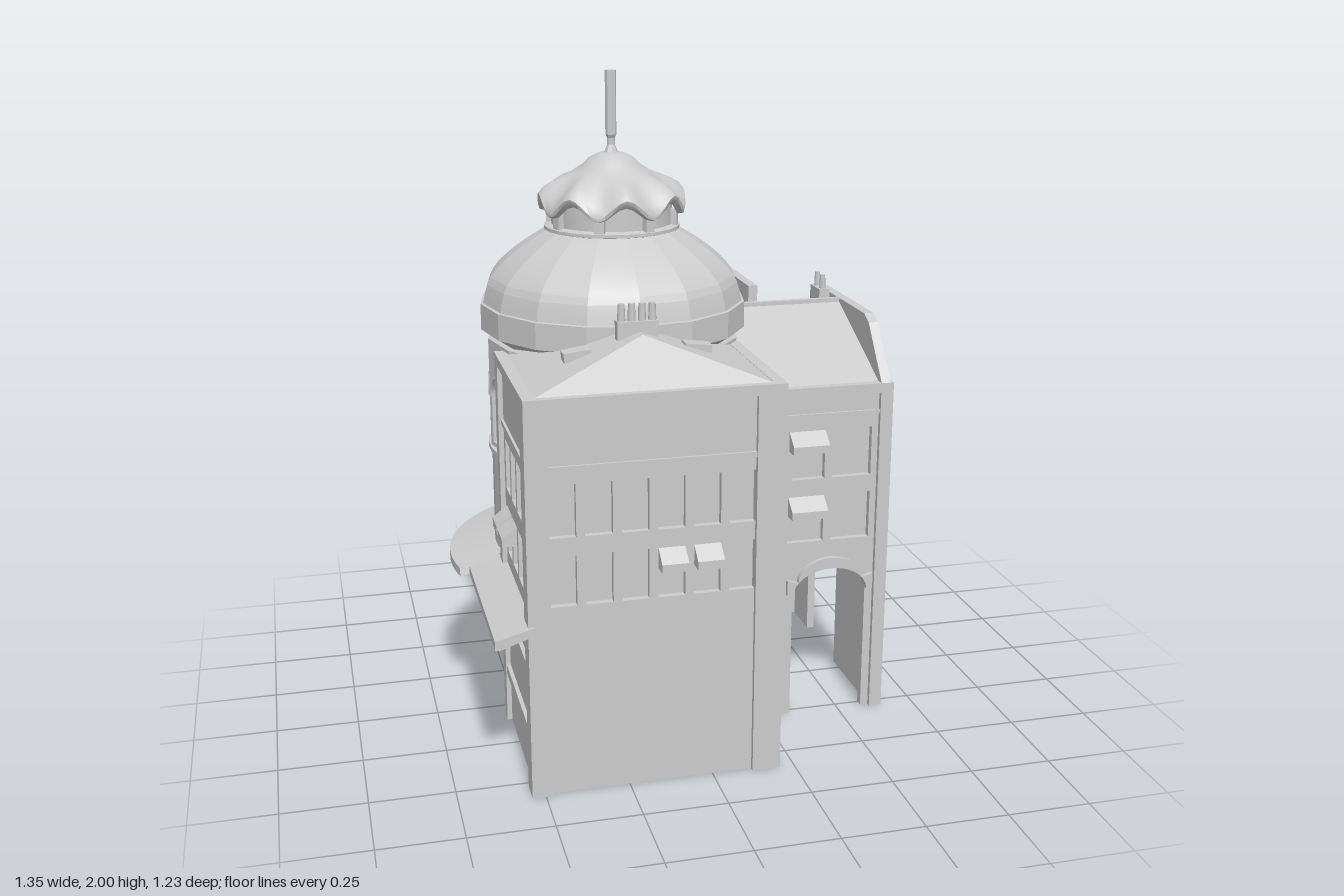
import * as THREE from 'three';
import { toCreasedNormals } from 'three/addons/utils/BufferGeometryUtils.js';

const grey = new THREE.MeshStandardMaterial({ color: 0xcccccc, side: THREE.DoubleSide });
const CX = -0.15, CZ = -0.08; // axis of the round tower

function add(parent, name, geo) {
  const m = new THREE.Mesh(geo, grey);
  m.name = name;
  parent.add(m);
  return m;
}
// box given by its two extreme corners
function box(parent, name, x0, x1, y0, y1, z0, z1) {
  const m = add(parent, name, new THREE.BoxGeometry(x1 - x0, y1 - y0, z1 - z0));
  m.position.set((x0 + x1) / 2, (y0 + y1) / 2, (z0 + z1) / 2);
  return m;
}
// (z, y) outline swept along x
function prism(parent, name, outline, x0, x1) {
  const shape = new THREE.Shape(outline.map(p => new THREE.Vector2(...p)));
  const g = new THREE.ExtrudeGeometry(shape, { depth: x1 - x0, bevelEnabled: false });
  return add(parent, name, g.rotateY(-Math.PI / 2).translate(x1, 0, 0));
}
// flat faces, each a list of corners
function faces(parent, name, list) {
  const pos = [];
  for (const f of list)
    for (let i = 1; i < f.length - 1; i++) pos.push(...f[0], ...f[i], ...f[i + 1]);
  const g = new THREE.BufferGeometry();
  g.setAttribute('position', new THREE.Float32BufferAttribute(pos, 3));
  g.computeVertexNormals();
  return add(parent, name, g);
}
function lathe(parent, name, pts, seg, crease = 0.3, start = 0, len = Math.PI * 2) {
  const g = new THREE.LatheGeometry(pts.map(p => new THREE.Vector2(...p)), seg, start, len);
  const m = add(parent, name, toCreasedNormals(g, crease));
  m.position.set(CX, 0, CZ);
  return m;
}
function rectHole(u0, u1, y0, y1) {
  return new THREE.Path([[u0, y0], [u1, y0], [u1, y1], [u0, y1]].map(p => new THREE.Vector2(...p)));
}

// One facade: local x runs along the wall, local z points outwards
const ROWS = [[0.58, 0.73], [0.785, 0.94]];
function facade(root, name, { x, z, ry, w, top, wins, awnings = [], arch }) {
  const g = new THREE.Group();
  g.name = name;
  g.position.set(x, 0, z);
  g.rotation.y = ry;
  root.add(g);
  const s = new THREE.Shape();
  s.moveTo(0, 0);
  if (arch) {
    const [c, h] = arch;
    s.lineTo(c - h, 0);
    s.lineTo(c - h, 0.41);
    s.absellipse(c, 0.41, h, 0.08, Math.PI, 0, true);
    s.lineTo(c + h, 0);
    // raised moulding round the archway
    const a = new THREE.Shape();
    a.moveTo(c - h - 0.02, 0.41);
    a.lineTo(c - h - 0.02, 0.46);
    a.absellipse(c, 0.45, h - 0.015, 0.075, Math.PI, 0, true);
    a.lineTo(c + h + 0.02, 0.46);
    a.lineTo(c + h + 0.02, 0.41);
    a.absellipse(c, 0.41, h, 0.08, 0, Math.PI, false);
    add(g, 'archMoulding', new THREE.ExtrudeGeometry(a, { depth: 0.015, bevelEnabled: false }));
  }
  s.lineTo(w, 0);
  s.lineTo(w, top);
  s.lineTo(0, top);
  for (const [u0, u1] of wins) for (const [y0, y1] of ROWS) s.holes.push(rectHole(u0, u1, y0, y1));
  add(g, 'wall', new THREE.ExtrudeGeometry(s, { depth: 0.025, bevelEnabled: false }).translate(0, 0, -0.025));
  box(g, 'windowPanes', 0.005, w - 0.005, 0.55, 0.97, -0.03, -0.02);
  box(g, 'ledge', 0, w, 0.98, 0.995, -0.01, 0.008);
  box(g, 'cornice', -0.01, w + 0.01, top - 0.02, top + 0.01, -0.02, 0.015);
  for (const [i, row] of awnings) {
    const y = ROWS[row][1];
    prism(g, 'awning', [[0, y], [0.045, y - 0.035], [0.045, y - 0.06], [0, y - 0.06]], ...wins[i]);
  }
  return g;
}
const range = (n, start, pitch, width) =>
  Array.from({ length: n }, (_, i) => [start + i * pitch, start + i * pitch + width]);

function buildWalls(root) {
  const q = Math.PI / 2;
  facade(root, 'mainFront', { x: -0.525, z: 0.575, ry: 0, w: 0.715, top: 1.18,
    wins: range(6, 0.05, 0.104, 0.078), awnings: [[3, 0], [4, 0]] });
  facade(root, 'mainRightSide', { x: 0.19, z: 0.575, ry: q, w: 0.575, top: 1.18,
    wins: [[0.025, 0.125], [0.155, 0.275]], awnings: [[0, 1], [1, 1]] });
  const left = facade(root, 'mainLeftSide', { x: -0.525, z: 0.05, ry: -q, w: 0.525, top: 1.18,
    wins: range(4, 0.075, 0.107, 0.085), awnings: [[0, 0], [1, 0]] });
  for (const y of [0.16, 0.36]) box(left, 'shopBand', 0.05, 0.47, y, y + 0.03, -0.01, 0.012);
  facade(root, 'wingFront', { x: 0.19, z: 0.27, ry: 0, w: 0.44, top: 1.07,
    wins: [[0.015, 0.105], [0.13, 0.245], [0.27, 0.395]], awnings: [[1, 0], [1, 1]], arch: [0.27, 0.12] });
  facade(root, 'wingRightSide', { x: 0.63, z: 0.27, ry: q, w: 0.765, top: 1.07,
    wins: range(6, 0.075, 0.106, 0.085), awnings: [[1, 0], [2, 0]], arch: [0.46, 0.14] });
  facade(root, 'wingBack', { x: 0.63, z: -0.495, ry: Math.PI, w: 0.31, top: 1.07,
    wins: [[0.035, 0.145], [0.18, 0.28]], awnings: [[0, 1], [1, 1]], arch: [0.175, 0.12] });
  facade(root, 'middleBack', { x: 0.32, z: -0.495, ry: Math.PI, w: 0.32, top: 1.18,
    wins: [[0.04, 0.135], [0.175, 0.28]], awnings: [[0, 1], [1, 1]] });

  // corner pilasters: x0, x1, z0, z1, top
  for (const [x0, x1, z0, z1, top] of [
    [-0.54, -0.475, 0.52, 0.59, 1.19], [0.12, 0.205, 0.555, 0.59, 1.19], [-0.54, -0.5, 0.05, 0.1, 1.19],
    [0.16, 0.205, 0.275, 0.3, 1.19], [0.605, 0.645, 0.2, 0.285, 1.08], [0.605, 0.645, -0.51, -0.44, 1.08],
    [0.3, 0.335, -0.512, -0.47, 1.2], [-0.015, 0.02, -0.515, -0.42, 1.21]])
    box(root, 'pilaster', x0, x1, 0, top, z0, z1);

  // ground floor: passage wall, ceilings, counter, screen across the cut corner
  box(root, 'passageWall', 0.32, 0.335, 0, 0.54, -0.48, 0.26);
  box(root, 'passageCeiling', 0.2, 0.62, 0.53, 0.55, -0.48, 0.26);
  box(root, 'mainCeiling', -0.51, 0.18, 0.5, 0.52, 0.28, 0.56);
  box(root, 'counter', -0.515, -0.38, 0.19, 0.21, 0.06, 0.56);
  const d = box(root, 'cornerScreen', -0.375, 0.375, 0.22, 0.5, -0.01, 0.01);
  d.position.set(-0.265, 0.36, -0.2);
  d.rotation.y = 0.79;
}

function buildRoofs(root) {
  // hipped roof of the main block
  const A = [-0.53, 1.18, 0.58], B = [0.195, 1.18, 0.58], C = [0.195, 1.18, 0], D = [-0.53, 1.18, 0.05];
  const P = [-0.17, 1.31, 0.42], Q = [-0.17, 1.31, 0];
  faces(root, 'mainRoof', [[A, B, P], [B, C, Q, P], [D, A, P, Q]]);
  box(root, 'chimney', -0.235, -0.115, 1.27, 1.34, 0.35, 0.385);
  for (let i = 0; i < 4; i++) {
    const p = add(root, 'chimneyPot', new THREE.CylinderGeometry(0.01, 0.012, 0.05, 8));
    p.position.set(-0.22 + i * 0.03, 1.365, 0.367);
  }
  for (const s of [-1, 1]) {
    const w = box(root, 'roofLight', -0.04, 0.04, -0.015, 0.015, -0.025, 0.025);
    w.position.set(-0.175 + s * 0.175, 1.25, 0.367);
    w.rotation.z = -s * 0.12;
  }
  // wing: ridge roof, lean-to part, parapet walls
  prism(root, 'wingRoofFront', [[0.28, 1.07], [-0.11, 1.25], [-0.11, 1.07]], 0.2, 0.61);
  prism(root, 'wingRoofBack', [[-0.11, 1.07], [-0.11, 1.25], [-0.5, 1.07]], 0.32, 0.61);
  prism(root, 'middleRoof', [[-0.1, 1.16], [-0.1, 1.24], [-0.5, 1.18], [-0.5, 1.16]], 0, 0.31);
  box(root, 'ridge', 0.26, 0.61, 1.22, 1.26, -0.125, -0.105);
  prism(root, 'gableWall', [[0.285, 1.05], [0.285, 1.08], [0.16, 1.24], [0.12, 1.26], [-0.3, 1.26],
    [-0.505, 1.08], [-0.505, 1.05]], 0.605, 0.635);
  box(root, 'partyWall', 0.305, 0.335, 1.05, 1.31, -0.49, -0.13);
  box(root, 'sideChimney', 0.57, 0.605, 1.1, 1.27, -0.29, -0.2);
  for (const z of [-0.27, -0.22]) {
    const p = add(root, 'chimneyPot', new THREE.CylinderGeometry(0.009, 0.011, 0.05, 8));
    p.position.set(0.587, 1.29, z);
  }
}

function buildTower(root) {
  lathe(root, 'towerDrum', [[0.385, 0.47], [0.385, 0.84], [0.395, 0.845], [0.395, 0.86],
    [0.37, 0.865], [0.37, 1.2]], 42);
  // arcade of round-headed windows, one flat bay per side
  const n = 14, half = 0.39 * Math.sin(Math.PI / n), apothem = 0.39 * Math.cos(Math.PI / n);
  const bay = new THREE.Shape([[-half, 0.855], [half, 0.855], [half, 1.2], [-half, 1.2]].map(p => new THREE.Vector2(...p)));
  const hole = new THREE.Path();
  hole.moveTo(-0.068, 0.875);
  hole.lineTo(0.068, 0.875);
  hole.absarc(0, 1.02, 0.068, 0, Math.PI, false);
  bay.holes.push(hole);
  const bayGeo = new THREE.ExtrudeGeometry(bay, { depth: 0.02, bevelEnabled: false }).translate(0, 0, apothem - 0.02);
  const archGeo = new THREE.TorusGeometry(0.075, 0.006, 5, 14, Math.PI).translate(0, 1.02, apothem);
  for (let i = 0; i < n; i++)
    for (const [name, geo] of [['arcadeBay', bayGeo], ['arcadeArch', archGeo]]) {
      const m = add(root, name, geo);
      m.position.set(CX, 0, CZ);
      m.rotation.y = (i / n) * Math.PI * 2;
    }
  // eaves band and faceted dome
  lathe(root, 'domeEaves', [[0.35, 1.19], [0.4, 1.225], [0.41, 1.23], [0.41, 1.31], [0.39, 1.315]], 16);
  const curve = new THREE.SplineCurve([[0.402, 1.31], [0.377, 1.39], [0.3, 1.465], [0.2, 1.53]].map(p => new THREE.Vector2(...p)));
  lathe(root, 'dome', curve.getPoints(12).map(p => [p.x, p.y]), 16, 0.16);
  lathe(root, 'lanternDrum', [[0.19, 1.525], [0.208, 1.53], [0.208, 1.54], [0.185, 1.545], [0.185, 1.62]], 24);
  for (let i = 0; i < 8; i++) {
    const a = ((i + 0.5) / 8) * Math.PI * 2;
    const p = box(root, 'lanternPier', -0.015, 0.015, 1.54, 1.59, -0.012, 0.012);
    p.position.x = CX + 0.19 * Math.sin(a);
    p.position.z = CZ + 0.19 * Math.cos(a);
    p.rotation.y = a;
  }
  // scalloped cap: the rim rises and falls eight times, fading towards the top
  const cap = lathe(root, 'scallopedCap', [[0.205, 1.575], [0.222, 1.578], [0.225, 1.59], [0.21, 1.615], [0.185, 1.642],
    [0.155, 1.67], [0.12, 1.7], [0.085, 1.723], [0.07, 1.74], [0.04, 1.755], [0, 1.76]], 64);
  const v = cap.geometry.attributes.position;
  for (let i = 0; i < v.count; i++) {
    const x = v.getX(i), z = v.getZ(i);
    const k = Math.max(0, (Math.hypot(x, z) - 0.12) / 0.105);
    v.setY(i, v.getY(i) + 0.026 * k * (1 + Math.cos(8 * Math.atan2(x, z))));
  }
  cap.geometry = toCreasedNormals(cap.geometry, 0.9);
  lathe(root, 'mast', [[0.025, 1.75], [0.012, 1.78], [0.012, 1.8], [0.017, 1.81], [0.017, 2], [0, 2]], 8);
  // thin sloping canopy round the tower and along the left side
  lathe(root, 'roundCanopy', [[0.38, 0.535], [0.53, 0.505], [0.53, 0.478], [0.515, 0.478], [0.38, 0.51]],
    24, 0.3, 2.855, 2.09);
  const side = new THREE.Group();
  side.name = 'sideCanopy';
  side.position.set(-0.525, 0, 0.05);
  side.rotation.y = -Math.PI / 2;
  root.add(side);
  prism(side, 'canopy', [[0, 0.535], [0.11, 0.505], [0.11, 0.478], [0.095, 0.478], [0, 0.51]], -0.02, 0.55);
  box(root, 'canopyEnd', -0.04, 0.02, 0.478, 0.52, -0.61, -0.45);
}

export function createModel() {
  const root = new THREE.Group();
  root.name = 'domedCornerBuilding';
  buildWalls(root);
  buildRoofs(root);
  buildTower(root);
  return root;
}
